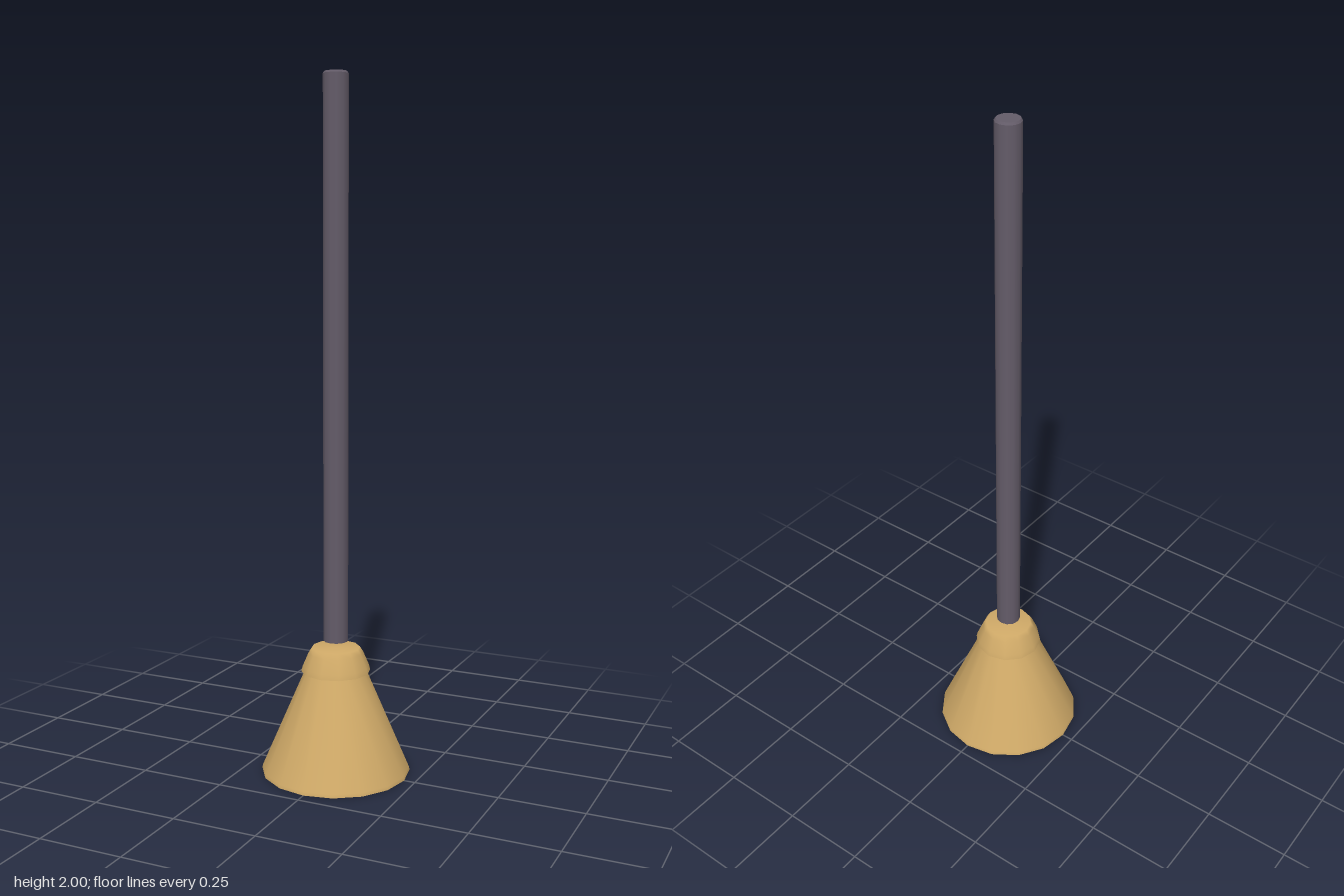
import * as THREE from 'three';

export function createModel() {
  const gold = new THREE.MeshStandardMaterial({ color: 0xd0aa68 });
  gold.name = 'gold';
  const darkGrey = new THREE.MeshStandardMaterial({ color: 0x645c69 });
  darkGrey.name = 'dark grey';

  const model = new THREE.Group();
  model.name = 'weightedPole';

  // Solid of revolution; profile runs from bottom to top, flat underside is a separate hard-edged disc
  function turned(name, profile, sides, material) {
    const part = new THREE.Group();
    part.name = name;
    const points = profile.map(([r, y]) => new THREE.Vector2(r, y));
    const side = new THREE.Mesh(new THREE.LatheGeometry(points, sides), material);
    side.name = name + 'Side';
    const [r, y] = profile[0];
    const disc = new THREE.CircleGeometry(r, sides).rotateX(Math.PI / 2).translate(0, y, 0);
    const underside = new THREE.Mesh(disc, material);
    underside.name = name + 'Underside';
    part.add(side, underside);
    model.add(part);
  }

  // Flared base cone
  turned('base', [[0.217, 0], [0.215, 0.01], [0.088, 0.305]], 16, gold);

  // Domed collar with a softly shaded flat top
  turned('collar', [[0.101, 0.3], [0.097, 0.315], [0.08, 0.355], [0.07, 0.37], [0, 0.372]], 12, gold);

  // Pole standing just clear of the collar, with a slightly softened top rim
  turned('pole', [[0.036, 0.39], [0.036, 1.994]], 12, darkGrey);
  const rim = new THREE.Mesh(new THREE.CylinderGeometry(0.032, 0.036, 0.006, 12), darkGrey);
  rim.position.y = 1.997;
  rim.name = 'poleTop';
  model.add(rim);

  return model;
}
